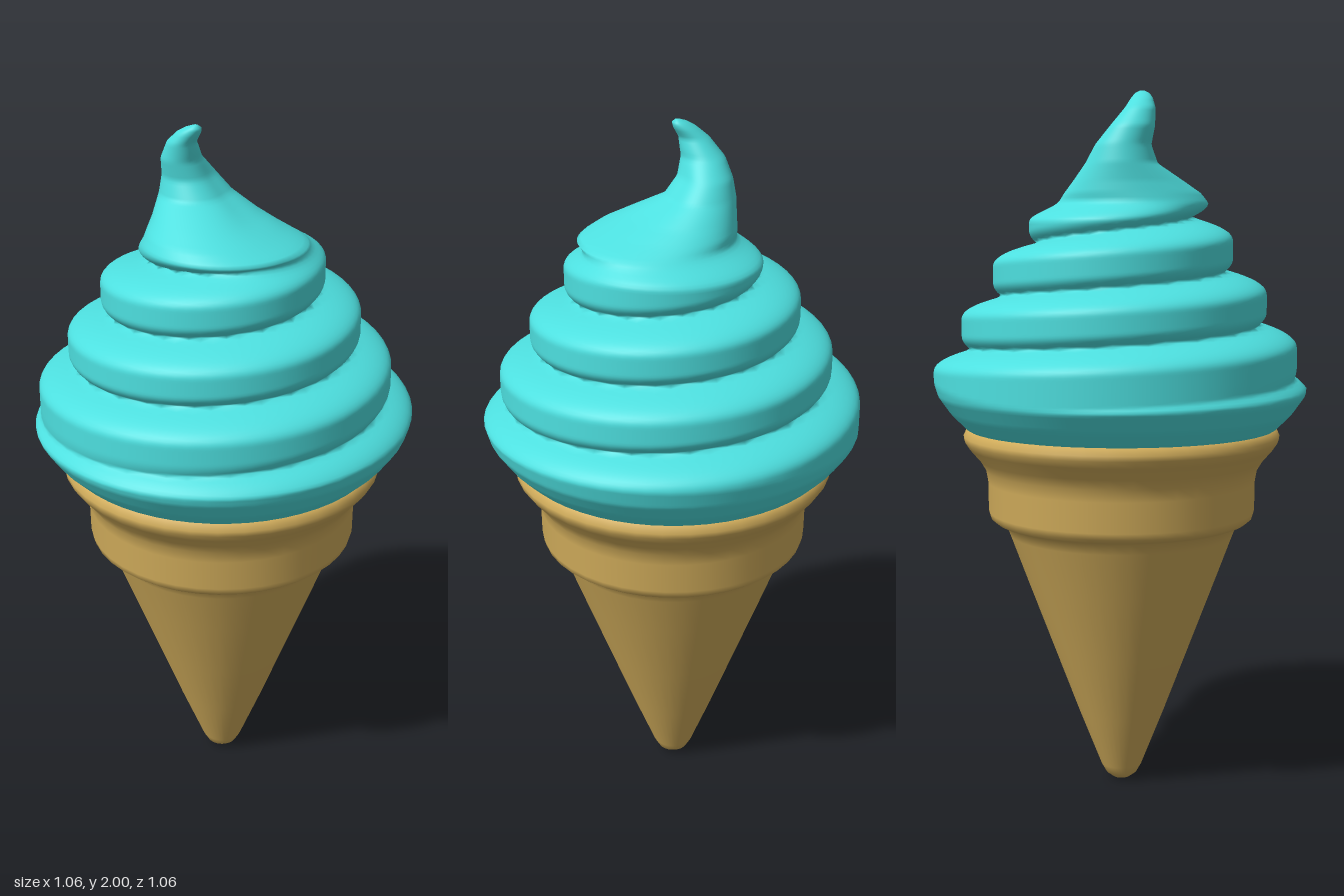
import * as THREE from 'three';

const coneMat = new THREE.MeshStandardMaterial({ color: 0xcfab5a });
coneMat.name = 'wafer tan';
const creamMat = new THREE.MeshStandardMaterial({ color: 0x4ddfdf });
creamMat.name = 'turquoise cream';

const { clamp, lerp, smoothstep } = THREE.MathUtils;
const PITCH = 0.15; // height gained by the coil per turn

// Linear lookup in rows of [key, value, value, ...]
function sample(table, key, col = 1) {
  if (key <= table[0][0]) return table[0][col];
  for (let i = 1; i < table.length; i++) {
    const a = table[i - 1], b = table[i];
    if (key <= b[0]) return lerp(a[col], b[col], (key - a[0]) / (b[0] - a[0]));
  }
  return table[table.length - 1][col];
}

// Coil radius by the height of its middle
const coilRadius = [[1.2, 0.54], [1.25, 0.515], [1.34, 0.465], [1.49, 0.375], [1.63, 0.28], [1.71, 0.22], [1.8, 0.17]];
// Underside of the lowest coil
const underside = [[1.04, 0.42], [1.06, 0.45], [1.1, 0.49], [1.15, 0.525], [1.2, 0.54]];
// Spire sections: y, centre x, radius x, centre z, radius z
const spire = [
  [1.64, 0.025, 0.245, 0.045, 0.225],
  [1.69, 0.02, 0.225, 0.045, 0.215],
  [1.72, -0.01, 0.185, 0.03, 0.195],
  [1.75, -0.035, 0.15, 0.008, 0.16],
  [1.8, -0.072, 0.103, -0.03, 0.1],
  [1.85, -0.092, 0.075, -0.033, 0.078],
  [1.9, -0.11, 0.055, -0.013, 0.063],
  [1.95, -0.103, 0.039, 0.013, 0.043],
  [1.98, -0.08, 0.032, 0.028, 0.029],
  [1.993, -0.068, 0.021, 0.034, 0.019],
  [2.0, -0.062, 0.006, 0.036, 0.006],
];

// Radius of the spiralling body at angle a and height y
function bodyRadius(a, y) {
  const crease = 1.55 - PITCH * a / (2 * Math.PI);
  const turns = (y - crease) / PITCH;
  const k = Math.floor(turns), f = turns - k;
  const low = crease + k * PITCH, mid = low + PITCH / 2;
  const groove = h => 0.025 * clamp((h - 1.18) / 0.08, 0, 1);
  const r = sample(coilRadius, mid);
  const next = sample(coilRadius, mid + PITCH) - groove(low + PITCH);
  let out = r;
  if (f < 0.25) out = r - groove(low) * (1 - f / 0.25) ** 2;
  else if (f > 0.55) out = lerp(r, next, ((f - 0.55) / 0.45) ** 2.4);
  return Math.min(out, sample(underside, y));
}

function creamGeometry() {
  const segs = 56, rows = 130, y0 = 1.045, y1 = 2.0;
  const pos = [], index = [];
  for (let j = 0; j <= rows; j++) {
    const y = lerp(y0, y1, j / rows);
    const blend = smoothstep(y, 1.64, 1.7);
    const [cx, rx, cz, rz] = [1, 2, 3, 4].map(c => sample(spire, y, c));
    // Hollow that the curl of the spire folds around
    const hollow = 0.18 * smoothstep(y, 1.7, 1.78) * (1 - smoothstep(y, 1.84, 1.93));
    for (let i = 0; i < segs; i++) {
      const a = -Math.PI + (i / segs) * Math.PI * 2;
      const r = bodyRadius(a, y);
      const dent = 1 - hollow * Math.exp(-(((a - 0.3) / 0.6) ** 2));
      const c = Math.cos(a), s = Math.sin(a);
      pos.push(lerp(r * c, cx + rx * c * dent, blend), y, lerp(r * s, cz + rz * s * dent, blend));
    }
  }
  for (let j = 0; j < rows; j++) {
    for (let i = 0; i < segs; i++) {
      const n = (i + 1) % segs;
      const p = j * segs + i, q = j * segs + n;
      index.push(p, p + segs, q, q, p + segs, q + segs);
    }
  }
  // Caps at the bottom and the tip
  const bottom = pos.length / 3;
  pos.push(0, y0, 0, -0.062, y1, 0.036);
  for (let i = 0; i < segs; i++) {
    const n = (i + 1) % segs, top = rows * segs;
    index.push(bottom, i, n, bottom + 1, top + n, top + i);
  }
  const geo = new THREE.BufferGeometry();
  geo.setAttribute('position', new THREE.Float32BufferAttribute(pos, 3));
  geo.setIndex(index);
  geo.computeVertexNormals();
  return geo;
}

export function createModel() {
  const model = new THREE.Group();
  model.name = 'iceCreamCone';

  // Wafer cone with a stepped collar and a flared rim
  const profile = [
    [0, 0], [0.025, 0.003], [0.045, 0.018], [0.06, 0.045], [0.125, 0.21], [0.2, 0.41],
    [0.275, 0.61], [0.325, 0.745], [0.337, 0.775], [0.365, 0.785], [0.38, 0.797], [0.385, 0.815],
    [0.386, 0.9], [0.392, 0.935], [0.41, 0.965], [0.44, 1.0], [0.453, 1.02], [0.455, 1.035],
    [0.445, 1.055], [0.42, 1.06], [0.38, 1.05],
  ].map(([x, y]) => new THREE.Vector2(x, y));
  const cone = new THREE.Mesh(new THREE.LatheGeometry(profile, 40), coneMat);
  cone.name = 'waferCone';
  model.add(cone);

  // Soft swirl rising in a spiral to a curled tip
  const cream = new THREE.Mesh(creamGeometry(), creamMat);
  cream.name = 'creamSwirl';
  model.add(cream);

  return model;
}
